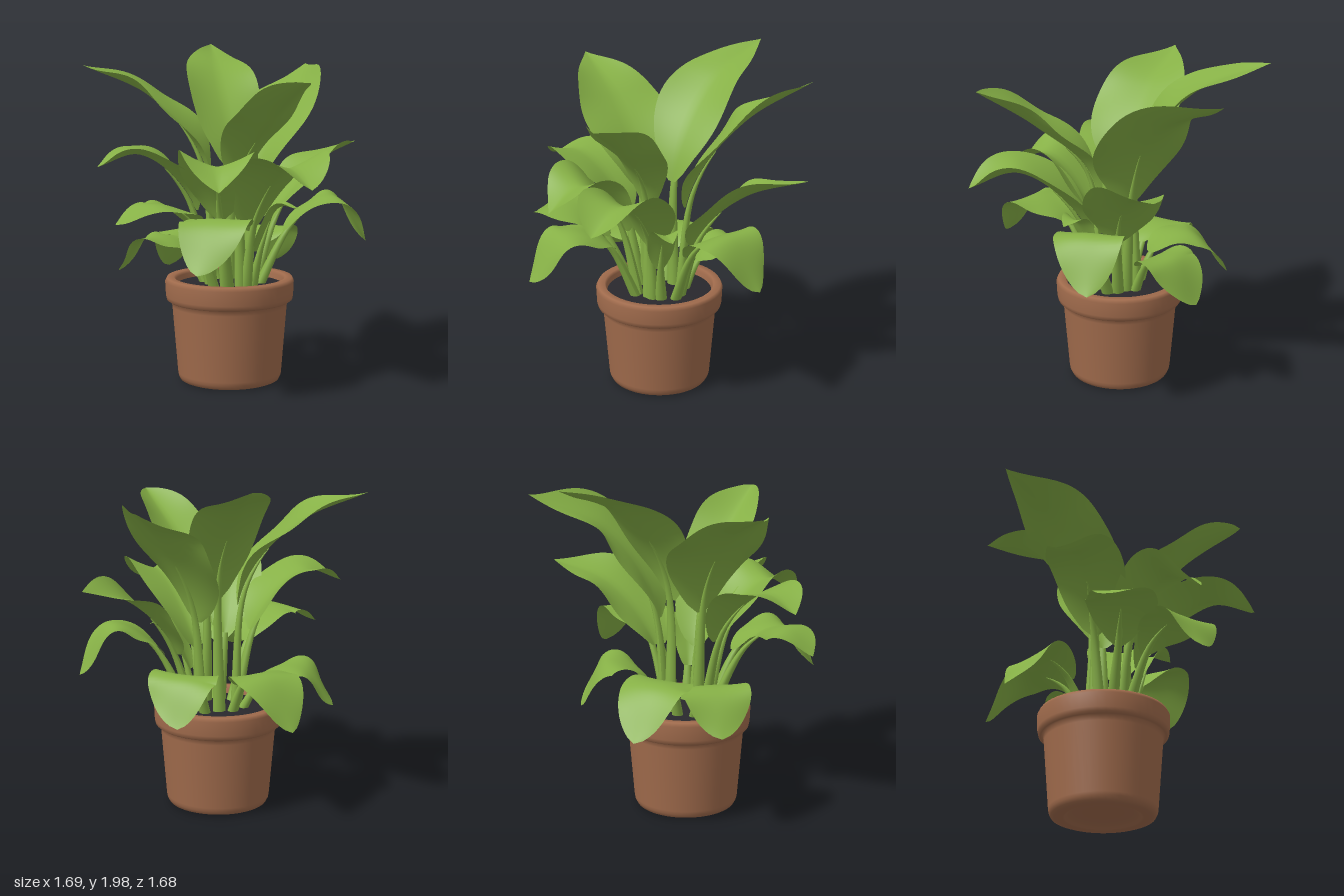
import * as THREE from 'three';

const mat = (name, color, side = THREE.FrontSide) => {
  const m = new THREE.MeshStandardMaterial({ color, side });
  m.name = name;
  return m;
};
const leafGreen = mat('leaf green', 0x86b046, THREE.DoubleSide);
const terracotta = mat('terracotta', 0xa06b4c);
const soilDark = mat('dark soil', 0x29282d);

const UP = new THREE.Vector3(0, 1, 0);
const POT = new THREE.Vector3(-0.07, 0, -0.05);
const ROOT = new THREE.Vector3(-0.06, 0.5, -0.03);

// Half width, edge lift, tip bluntness (small is round) and sideways roll of the three tiers of leaves
const TALL = { width: 0.26, cup: 0.2, taper: 1.1, roll: 0 };
const MIDDLE = { width: 0.21, cup: 0.25, taper: 1, roll: 0 };
const LOW = { width: 0.19, cup: -0.02, taper: 0.7, roll: 0 };

// Builds an indexed grid surface from rows of points
function surface(name, rows, cols, point) {
  const pos = [], index = [];
  for (let i = 0; i <= rows; i++)
    for (let j = 0; j <= cols; j++) pos.push(...point(i / rows, j / cols).toArray());
  for (let i = 0; i < rows; i++)
    for (let j = 0; j < cols; j++) {
      const a = i * (cols + 1) + j, b = a + cols + 1;
      index.push(a, a + 1, b, b, a + 1, b + 1);
    }
  const g = new THREE.BufferGeometry();
  g.setAttribute('position', new THREE.Float32BufferAttribute(pos, 3));
  g.setIndex(index);
  g.computeVertexNormals();
  const mesh = new THREE.Mesh(g, leafGreen);
  mesh.name = name;
  return mesh;
}

// One leaf: a tapered stalk and a cupped, gently waved blade on one midline,
// which leaves the root crown towards the neck, arches over the crest and ends at the tip
function makeLeaf(name, style, neckAt, crestAt, tipAt) {
  const { width, cup, taper, roll } = style;
  const [neck, crest, tip] = [neckAt, crestAt, tipAt].map(p => new THREE.Vector3(...p));
  const outward = neck.clone().sub(ROOT).setY(0).normalize();
  const base = ROOT.clone().addScaledVector(outward, 0.08);
  const curve = new THREE.CatmullRomCurve3([base, neck, crest, tip]);

  const heading = tip.clone().sub(base).setY(0).normalize();
  const across = new THREE.Vector3().crossVectors(UP, heading);
  const frame = t => {
    const T = curve.getTangent(t);
    const S = across.clone().addScaledVector(T, -across.dot(T)).normalize().applyAxisAngle(T, roll);
    return { C: curve.getPoint(t), S, N: new THREE.Vector3().crossVectors(T, S) };
  };

  const start = 0.27, rise = 0.75, peak = rise / (rise + taper);
  const ovate = s => (s / peak) ** rise * ((1 - s) / (1 - peak)) ** taper;

  const group = new THREE.Group();
  group.name = name;
  group.add(
    surface('blade', 32, 12, (s, v) => {
      const { C, S, N } = frame(start + (1 - start) * s);
      const u = v * 2 - 1;
      const w = width * ovate(s) + 0.025 * (1 - s);
      const wave = 0.1 * Math.sin(s * 10 + tip.x * 9 + (u > 0 ? 1.5 : 0)) * u * u;
      return C.addScaledVector(S, w * u).addScaledVector(N, w * (cup * Math.abs(u) ** 1.3 + wave));
    }),
    // The stalk sinks below the blade and becomes its midrib
    surface('stalk', 16, 10, (s, v) => {
      const { C, S, N } = frame(s * 0.5);
      const r = 0.04 * (1 - s) + 0.003, a = v * Math.PI * 2;
      return C.addScaledVector(S, Math.cos(a) * r).addScaledVector(N, (Math.sin(a) * 0.8 - 0.9) * r);
    }),
  );
  return group;
}

function makeFoliage() {
  const foliage = new THREE.Group();
  foliage.name = 'foliage';
  foliage.add(
    // Tall, upright leaves
    makeLeaf('tallBackLeaf', { ...TALL, width: 0.21, roll: 0.15 }, [0, 1.4, -0.15], [0.1, 1.8, -0.46], [0.28, 1.98, -0.84]),
    makeLeaf('tallLeftLeaf', { ...TALL, roll: -0.25 }, [0.13, 1.25, -0.08], [0.42, 1.66, -0.15], [0.74, 1.86, -0.44]),
    makeLeaf('tallRightLeaf', TALL, [-0.22, 1.33, -0.11], [-0.46, 1.69, -0.3], [-0.77, 1.87, -0.55]),
    makeLeaf('tallFrontLeaf', { ...TALL, width: 0.18, cup: 0.45, taper: 0.7 }, [-0.09, 1.27, 0.12], [-0.09, 1.58, 0.44], [-0.1, 1.8, 0.78]),
    // Arching leaves in the middle
    makeLeaf('middleFrontLeaf', { ...MIDDLE, cup: 0.4, taper: 0.8 }, [-0.04, 1.0, 0.18], [-0.06, 1.32, 0.55], [-0.1, 1.23, 0.84]),
    makeLeaf('middleFrontRightLeaf', { ...MIDDLE, cup: 0.35 }, [-0.25, 1.08, 0.13], [-0.39, 1.33, 0.34], [-0.5, 1.21, 0.54]),
    makeLeaf('middleRightLeaf', MIDDLE, [-0.33, 1.13, -0.09], [-0.62, 1.37, -0.14], [-0.84, 1.3, -0.24]),
    makeLeaf('middleLeftLeaf', { ...MIDDLE, roll: -0.15 }, [0.22, 1.01, 0.02], [0.5, 1.28, 0.03], [0.84, 1.39, -0.04]),
    // Low leaves that bend down
    makeLeaf('lowRightLeaf', { ...LOW, taper: 0.95 }, [-0.4, 1, 0.07], [-0.64, 1.11, 0.09], [-0.85, 1, 0]),
    makeLeaf('lowFrontRightLeaf', LOW, [-0.29, 0.97, 0.24], [-0.46, 1.04, 0.43], [-0.64, 0.77, 0.54]),
    makeLeaf('lowFrontLeftLeaf', LOW, [0.24, 0.97, 0.16], [0.48, 1.1, 0.24], [0.68, 0.82, 0.29]),
    makeLeaf('lowBackLeftLeaf', LOW, [0.16, 0.81, -0.17], [0.34, 0.87, -0.27], [0.45, 0.62, -0.39]),
    makeLeaf('lowBackLeaf', LOW, [-0.1, 0.8, -0.27], [-0.1, 0.86, -0.5], [-0.1, 0.59, -0.73]),
    makeLeaf('lowBackRightLeaf', LOW, [-0.28, 0.81, -0.25], [-0.44, 0.84, -0.4], [-0.55, 0.63, -0.54]),
    makeLeaf('youngLeaf', { ...MIDDLE, width: 0.07 }, [0.02, 0.85, 0.15], [0.09, 1.06, 0.25], [0.17, 1.05, 0.33]),
  );
  return foliage;
}

function lathe(name, profile, material) {
  const points = profile.map(([r, y]) => new THREE.Vector2(r, y));
  const mesh = new THREE.Mesh(new THREE.LatheGeometry(points, 48), material);
  mesh.name = name;
  mesh.position.copy(POT);
  return mesh;
}

export function createModel() {
  const model = new THREE.Group();
  model.name = 'pottedPlant';
  model.add(
    // Tapered pot with a recessed base and a thick rounded rim
    lathe('pot', [
      [0, 0.03], [0.18, 0.03], [0.215, 0.004], [0.225, 0], [0.275, 0], [0.295, 0.008],
      [0.306, 0.03], [0.309, 0.05], [0.341, 0.45], [0.346, 0.48], [0.36, 0.482],
      [0.374, 0.492], [0.379, 0.515], [0.383, 0.6], [0.372, 0.622],
      [0.33, 0.622], [0.32, 0.605], [0.312, 0.55],
    ], terracotta),
    // Slightly mounded soil
    lathe('soil', [[0.32, 0.575], [0.25, 0.582], [0.12, 0.59], [0, 0.592]], soilDark),
    makeFoliage(),
  );
  return model;
}
